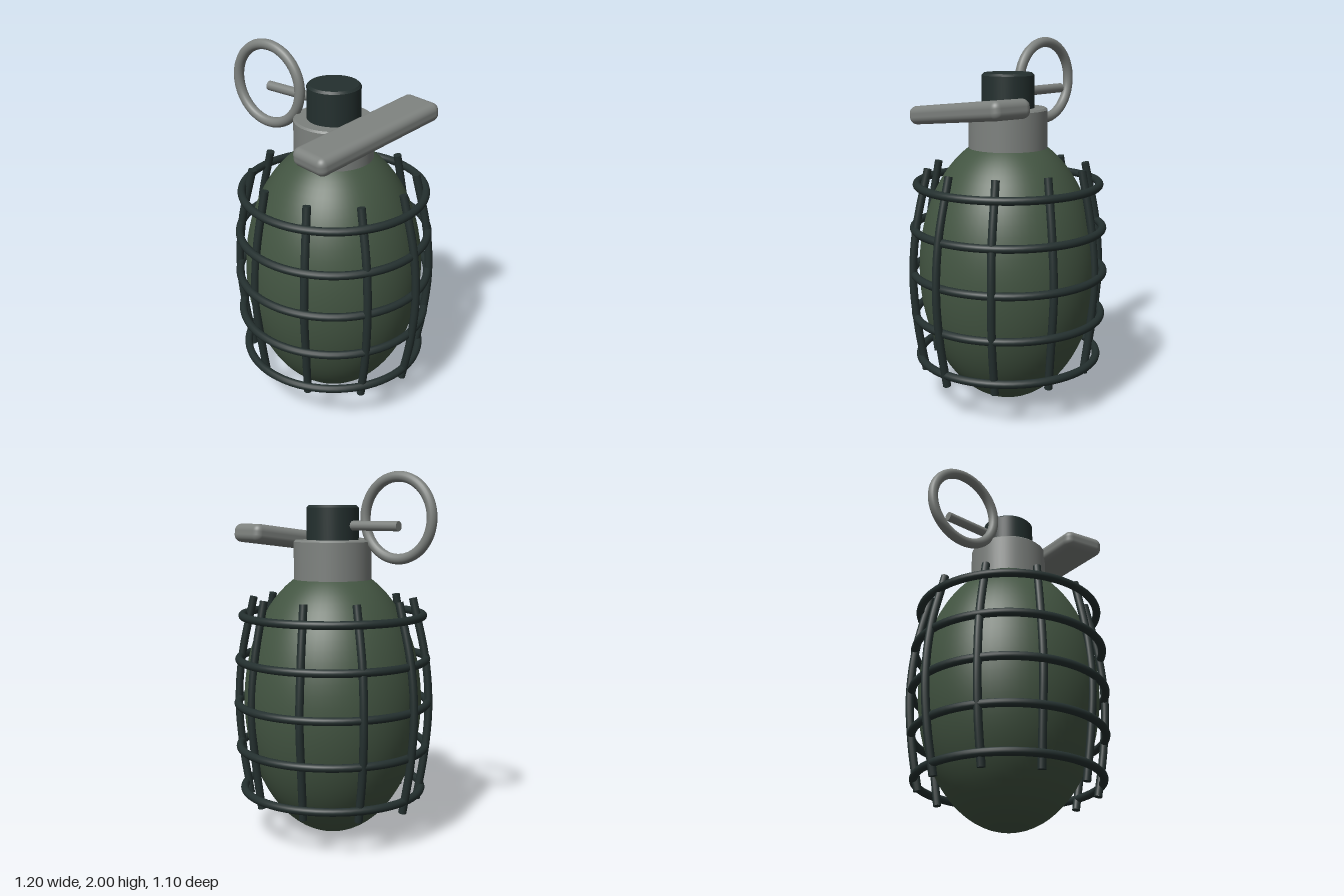
import * as THREE from 'three';
import { RoundedBoxGeometry } from 'three/addons/geometries/RoundedBoxGeometry.js';

const AXIS_X = 0.022; // the body axis sits slightly to the left of centre

function material(name, color) {
  const m = new THREE.MeshStandardMaterial({ color });
  m.name = name;
  return m;
}

export function createModel() {
  const group = new THREE.Group();
  const green = material('olive green', 0x435542);
  const dark = material('dark wire', 0x24302f);
  const metal = material('grey metal', 0x7d817e);

  const add = (name, geometry, mat, x, y, z) => {
    const mesh = new THREE.Mesh(geometry, mat);
    mesh.name = name;
    mesh.position.set(x, y, z);
    group.add(mesh);
    return mesh;
  };

  // Egg-shaped body
  add('body', new THREE.SphereGeometry(1, 64, 40), green, AXIS_X, 0.75, 0).scale.set(0.492, 0.75, 0.492);

  // Turned neck and cap: closed cylinder with a small bevel at the top rim
  const turned = (r, h, b) => new THREE.LatheGeometry(
    [[0, 0], [r, 0], [r, 0], [r, h - b], [r, h - b], [r - b, h], [r - b, h], [0, h]]
      .map(([x, y]) => new THREE.Vector2(x, y)), 48);
  add('neck', turned(0.213, 0.3, 0.01), metal, AXIS_X, 1.34, 0);
  add('cap', turned(0.142, 0.21, 0.012), dark, AXIS_X, 1.615, 0);

  // Horizontal hoops of the cage
  const hoops = [[0.26, 0.497], [0.5, 0.518], [0.745, 0.526], [0.99, 0.518], [1.23, 0.497]];
  for (const [y, r] of hoops) {
    add('cageHoop', new THREE.TorusGeometry(r, 0.022, 12, 72), dark, AXIS_X, y, 0).rotation.x = Math.PI / 2;
  }

  // Ten bowed upright wires: height, x radius, z radius
  const bow = [[0.195, 0.485, 0.445], [0.45, 0.532, 0.475], [0.72, 0.553, 0.495], [1.0, 0.53, 0.475], [1.325, 0.45, 0.42]];
  for (let i = 0; i < 10; i++) {
    const a = (i / 10) * Math.PI * 2;
    const curve = new THREE.CatmullRomCurve3(
      bow.map(([y, rx, rz]) => new THREE.Vector3(rx * Math.cos(a), y, rz * Math.sin(a))));
    const wire = add('cageUpright', new THREE.TubeGeometry(curve, 24, 0.022, 12), dark, AXIS_X, 0, 0);
    // End caps
    for (const t of [0, 1]) {
      const cap = new THREE.Mesh(new THREE.CircleGeometry(0.022, 12), dark);
      cap.name = 'uprightEnd';
      const p = curve.getPoint(t);
      cap.position.copy(p);
      cap.lookAt(p.clone().addScaledVector(curve.getTangent(t), t ? 1 : -1));
      wire.add(cap);
    }
  }

  // Safety pin and pull ring
  add('pin', new THREE.CylinderGeometry(0.026, 0.026, 0.44, 20), metal, -0.2, 1.717, 0).rotation.z = Math.PI / 2;
  add('pullRing', new THREE.TorusGeometry(0.214, 0.028, 16, 64), metal, -0.363, 1.758, 0.07);

  // Slanted lever beside the cap
  const lever = add('lever', new RoundedBoxGeometry(0.235, 0.1, 0.82, 5, 0.04), metal, 0.28, 1.632, 0.055);
  lever.rotation.set(0.12, -0.19, 0, 'YXZ');

  return group;
}
